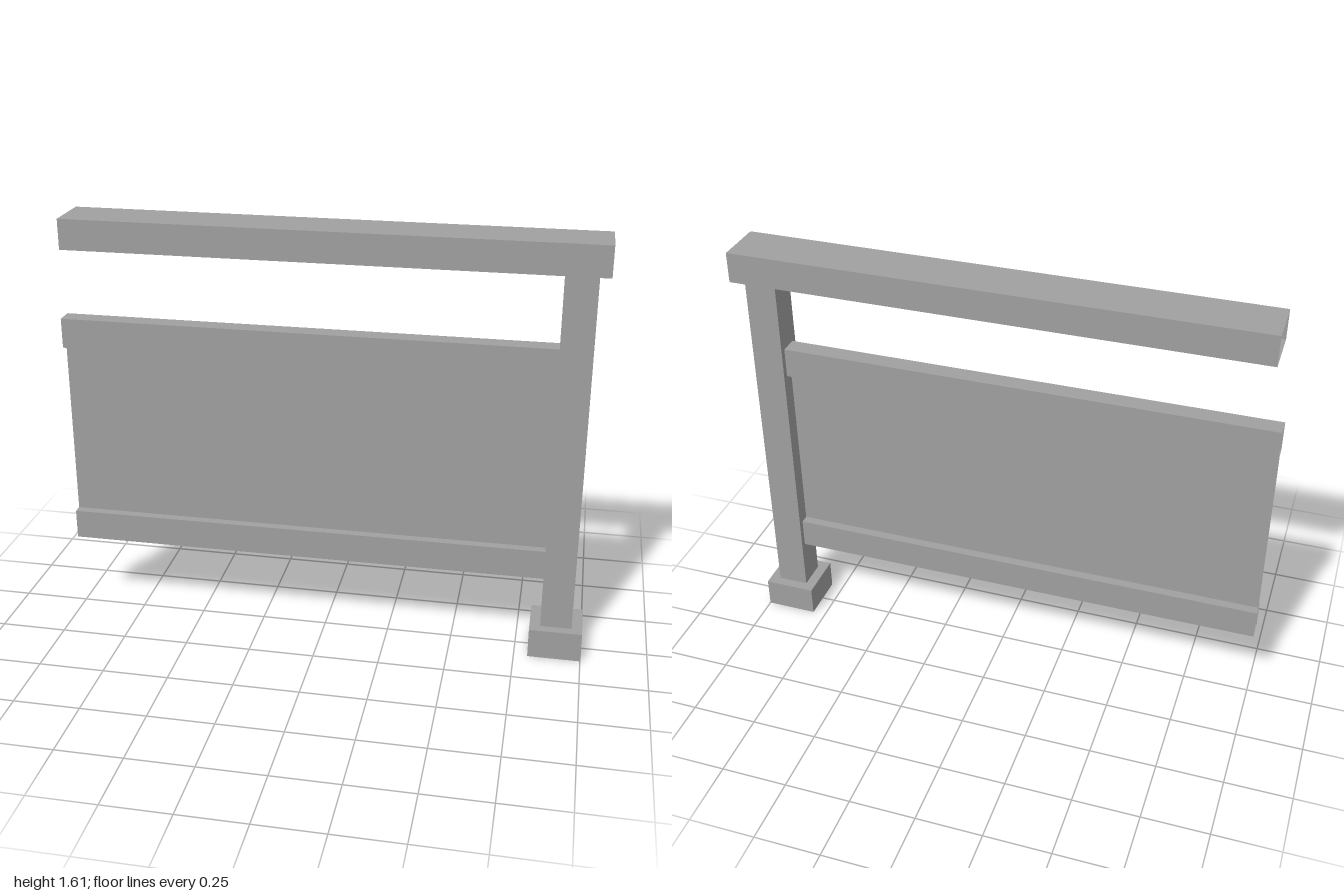
import * as THREE from 'three';

export function createModel() {
  const group = new THREE.Group();
  const grey = new THREE.MeshStandardMaterial({ color: 0xa0a0a0, side: THREE.DoubleSide });
  grey.name = 'plainGrey';

  // Box from x, y ranges and a depth centred on z = 0; openFaces lists box sides to leave off (0 = +x, 1 = -x)
  function addBox(name, [x0, x1], [y0, y1], depth, openFaces = []) {
    const geometry = new THREE.BoxGeometry(x1 - x0, y1 - y0, depth);
    const index = Array.from(geometry.index.array);
    geometry.setIndex(index.filter((_, i) => !openFaces.includes(Math.floor(i / 6))));
    geometry.clearGroups();
    const mesh = new THREE.Mesh(geometry, grey);
    mesh.name = name;
    mesh.position.set((x0 + x1) / 2, (y0 + y1) / 2, 0);
    group.add(mesh);
  }

  // Post on its foot
  addBox('postFoot', [0.802, 1], [0, 0.115], 0.192);
  addBox('post', [0.842, 0.96], [0.115, 1.5], 0.116);

  // Hollow handrail, open at its free end
  addBox('handrail', [-0.96, 1], [1.498, 1.612], 0.192, [1]);

  // Hollow rails holding the panel, open at both ends
  addBox('upperRail', [-1, 0.842], [1.102, 1.216], 0.07, [0, 1]);
  addBox('lowerRail', [-1, 0.842], [0.305, 0.419], 0.07, [0, 1]);

  // Single-sheet infill panel
  const panel = new THREE.Mesh(new THREE.PlaneGeometry(1.842, 0.683), grey);
  panel.name = 'panel';
  panel.position.set(-0.079, 0.7605, 0);
  group.add(panel);

  return group;
}
